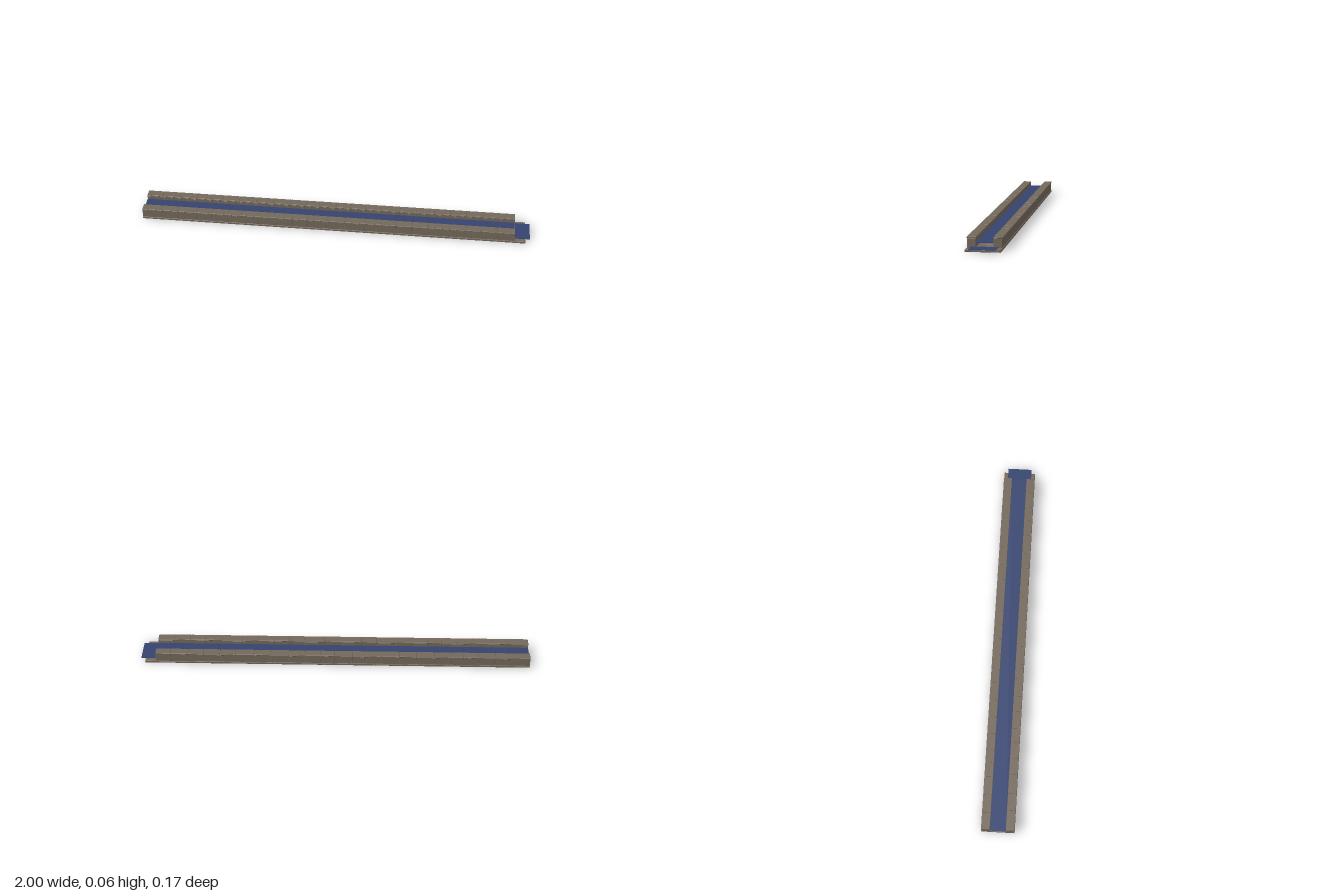
import * as THREE from 'three';
import { mergeGeometries } from 'three/addons/utils/BufferGeometryUtils.js';
import { ConvexGeometry } from 'three/addons/geometries/ConvexGeometry.js';

const mat = (name, color) => new THREE.MeshStandardMaterial({ name, color });

// Stone block with chamfered edges
function block(x0, x1, y0, y1, z0, z1, bevel) {
  const lo = [x0, y0, z0], hi = [x1, y1, z1], points = [];
  for (let corner = 0; corner < 8; corner++) {
    for (let axis = 0; axis < 3; axis++) {
      points.push(new THREE.Vector3(...[0, 1, 2].map((i) => {
        const inset = i === axis ? 0 : bevel;
        return corner >> i & 1 ? hi[i] - inset : lo[i] + inset;
      })));
    }
  }
  return new ConvexGeometry(points);
}

export function createModel() {
  const model = new THREE.Group();
  model.name = 'stoneWaterChannel';
  const stone = mat('stone', 0x74685b);
  const water = mat('water', 0x34436f);

  // A run of blocks between successive joints
  function course(name, joints, y0, y1, z0, z1, bevel) {
    const blocks = joints.slice(1).map((x, i) => block(joints[i], x, y0, y1, z0, z1, bevel));
    const mesh = new THREE.Mesh(mergeGeometries(blocks), stone);
    mesh.name = name;
    model.add(mesh);
  }

  // Joint positions of the two side walls
  const frontJoints = [-1, -0.9, -0.815, -0.715, -0.635, -0.55, -0.48, -0.39, -0.31, -0.215, -0.135, -0.04,
    0.055, 0.16, 0.24, 0.315, 0.4, 0.485, 0.59, 0.675, 0.755, 0.835, 0.922];
  const backJoints = [-1, -0.915, -0.825, -0.735, -0.66, -0.6, -0.51, -0.42, -0.33, -0.24, -0.16, -0.09,
    0, 0.075, 0.15, 0.235, 0.33, 0.415, 0.51, 0.59, 0.675, 0.755, 0.845, 0.922];

  // Walls with their cap stones
  for (const [side, joints, s] of [['front', frontJoints, 1], ['back', backJoints, -1]]) {
    const span = (a, b) => (s > 0 ? [a, b] : [-b, -a]);
    course(side + 'Wall', joints, 0.01, 0.053, ...span(0.041, 0.08), 0.0015);
    course(side + 'Cap', joints, 0.053, 0.06, ...span(0.039, 0.083), 0.0015);
  }

  // Base slabs, running past the end of the walls
  const baseJoints = Array.from({ length: 16 }, (_, i) => -1 + i * 1.978 / 15);
  course('base', baseJoints, 0, 0.011, -0.083, 0.083, 0.0015);

  // Thin sheets of water: the raised channel and the outlet
  function sheet(name, x0, x1, y, halfWidth) {
    const m = new THREE.Mesh(new THREE.BoxGeometry(x1 - x0, 0.002, halfWidth * 2), water);
    m.name = name;
    m.position.set((x0 + x1) / 2, y, 0);
    model.add(m);
  }
  sheet('channelWater', -1, 0.922, 0.034, 0.041);
  sheet('outletWater', 0.925, 1, 0.015, 0.063);

  return model;
}
